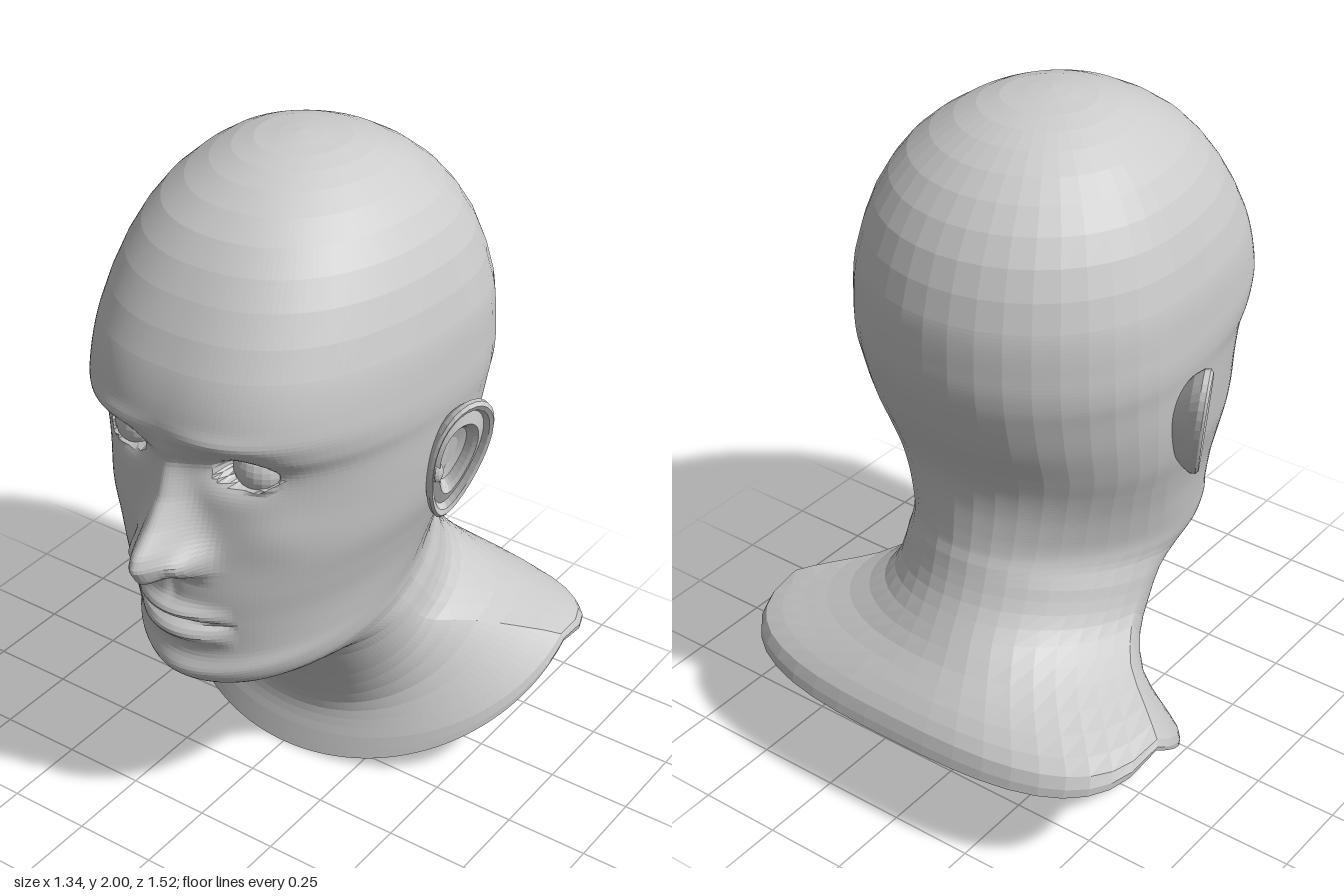
import * as THREE from 'three';

const gray = () => new THREE.MeshStandardMaterial({ color: 0xcccccc, flatShading: true, side: THREE.DoubleSide });
const bump = (d, s) => Math.exp(-(d / s) * (d / s));
const smooth = THREE.MathUtils.smoothstep;

// Skin a list of closed loops of points
function loft(loops, flip = false) {
  const n = loops[0].length, index = [];
  for (let i = 0; i < loops.length - 1; i++) {
    for (let j = 0; j < n; j++) {
      const a = i * n + j, b = i * n + (j + 1) % n, c = a + n, d = b + n;
      if (flip) index.push(a, b, c, b, d, c);
      else index.push(a, c, b, b, c, d);
    }
  }
  const g = new THREE.BufferGeometry();
  g.setAttribute('position', new THREE.Float32BufferAttribute(loops.flat(2), 3));
  g.setIndex(index);
  g.computeVertexNormals();
  return g;
}

function named(name, geometry) {
  const m = new THREE.Mesh(geometry, gray());
  m.name = name;
  return m;
}

// Ring rows: front y, z | side x, y, z | back y, z | front roundness
const skullRows = [
  [2.0, 0, 0, 2.0, 0, 2.0, 0, 2],
  [1.985, .13, .13, 1.985, -.02, 1.985, -.14, 2],
  [1.94, .26, .24, 1.94, -.04, 1.94, -.27, 2.1],
  [1.85, .40, .355, 1.85, -.06, 1.85, -.40, 2.2],
  [1.72, .51, .435, 1.72, -.08, 1.72, -.50, 2.3],
  [1.56, .60, .48, 1.56, -.1, 1.56, -.555, 2.4],
];
const faceRows = [
  [1.42, .638, .49, 1.42, -.11, 1.42, -.565, 2.5],
  [1.34, .622, .49, 1.34, -.11, 1.34, -.56, 2.5],
  [1.27, .59, .482, 1.27, -.1, 1.27, -.545, 2.4],
  [1.15, .58, .47, 1.15, -.08, 1.17, -.515, 2.3],
  [1.0, .59, .45, 1.03, -.05, 1.07, -.475, 2.2],
  [.88, .60, .42, .93, -.03, 1.0, -.455, 2.1],
  [.775, .595, .395, .84, 0, .93, -.45, 2],
  [.66, .575, .375, .75, .03, .86, -.455, 2],
  [.59, .58, .365, .70, .04, .82, -.46, 2],
  [.535, .535, .36, .665, .03, .79, -.465, 2],
];
// Neck rows add the roundness of the back
const neckRows = [
  [.505, .43, .355, .635, 0, .76, -.475, 2, 2],
  [.485, .27, .36, .59, -.04, .72, -.485, 2, 2],
  [.37, .17, .365, .53, -.08, .65, -.51, 2, 2],
  [.25, .095, .385, .485, -.14, .57, -.555, 2, 2.1],
  [.17, .055, .46, .45, -.25, .49, -.61, 2, 2.3],
  [.12, .055, .57, .42, -.34, .42, -.68, 2, 2.6],
  [.07, .07, .66, .39, -.41, .355, -.735, 2, 2.9],
  [0, .09, .665, .36, -.42, .29, -.755, 2, 3],
];
const rows = [...skullRows.map(r => [...r, 2]), ...faceRows.map(r => [...r, 2]), ...neckRows];

// Smooth blend between neighbouring rows
function rowAt(i, t) {
  const at = k => rows[Math.min(Math.max(k, 0), rows.length - 1)];
  const [p, a, b, q] = [at(i - 1), at(i), at(i + 1), at(i + 2)];
  return a.map((v, k) => v + .5 * t * (b[k] - p[k]
    + t * (2 * p[k] - 5 * v + 4 * b[k] - q[k] + t * (3 * (v - b[k]) + q[k] - p[k]))));
}

const EYE = { x: .2, y: 1.265, z: .44, r: .086 };

// Height of the nose ridge above the face
const ridge = [[.91, 0], [.94, .05], [.962, .145], [1.015, .18], [1.05, .168], [1.11, .11], [1.18, .06], [1.28, .02], [1.38, 0]];
function ridgeHeight(y) {
  for (let i = 0; i < ridge.length - 1; i++) {
    const [y0, h0] = ridge[i], [y1, h1] = ridge[i + 1];
    if (y >= y0 && y < y1) return h0 + (h1 - h0) * (y - y0) / (y1 - y0);
  }
  return 0;
}

// Facial relief: pushes the front of the skin along z
function relief(x, y, z) {
  x = Math.abs(x);
  // nose, wings and nostrils
  const w = THREE.MathUtils.lerp(.072, .045, smooth(y, 1.0, 1.25));
  z += ridgeHeight(y) * bump(x, w);
  z += .05 * bump(x - .085, .03) * bump(y - 1.0, .042);
  z -= .035 * bump(x - .045, .02) * bump(y - .952, .014);
  // brow, sockets and cheeks
  z += .014 * bump(x - .17, .12) * bump(y - 1.385, .03);
  z -= .06 * bump(x - .185, .09) * bump(y - 1.28, .06);
  z += .014 * bump(x - .28, .09) * bump(y - 1.08, .09);
  // lips, mouth line, philtrum and chin
  const lip = Math.max(0, 1 - (x / .165) ** 2), my = .775 - .3 * x * x;
  z += lip * (.032 * bump(y - my - .035, .026) + .03 * bump(y - my + .045, .028));
  z -= .022 * bump(y - my, .011) * Math.sqrt(lip);
  z -= .008 * bump(x, .02) * bump(y - .88, .035);
  z += .012 * bump(x, .1) * bump(y - .59, .04);
  // lids wrap the eyeball, then open over it
  const dx = x - EYE.x, dy = y - EYE.y;
  const ball = r => EYE.z + Math.sqrt(Math.max(0, r * r - dx * dx - dy * dy));
  if (Math.hypot(dx, dy) < .09) z = Math.max(z, ball(EYE.r + .01));
  const almond = (dx / .078) ** 2 + (dy / (dy > 0 ? .043 : .037)) ** 2;
  return THREE.MathUtils.lerp(ball(EYE.r) - .025, z, smooth(almond, .65, 1.25));
}

// Columns: fine over the face, coarse at the back
const half = [];
for (let i = 0; i < 46; i++) half.push(Math.PI / 2 * (i / 46) ** 1.25);
for (let i = 0; i <= 10; i++) half.push(Math.PI / 2 * (1 + i / 10));
const angles = [...half, ...half.slice(1, -1).reverse().map(a => -a)];

function ring([fy, fz, sx, sy, sz, by, bz, nf, nb]) {
  return angles.map(a => {
    const s = Math.min(1, Math.abs(Math.sin(a))), front = Math.cos(a) > 0;
    const n = front ? nf : nb;
    const c = Math.pow(Math.max(0, 1 - s ** n), 1 / n);
    const x = sx * Math.sin(a);
    const y = sy + ((front ? fy : by) - sy) * c;
    let z = sz + ((front ? fz : bz) - sz) * c;
    if (front && z > .2 && y > .5 && y < 1.5) z = relief(x, y, z);
    return [x, y, z];
  });
}

function headSkin() {
  const loops = [];
  for (let i = 0; i < rows.length - 1; i++) {
    const face = i >= skullRows.length - 1 && i < skullRows.length + faceRows.length - 1;
    const steps = face ? Math.ceil((rows[i][0] - rows[i + 1][0]) / .012) : 2;
    for (let k = 0; k < steps; k++) loops.push(ring(rowAt(i, k / steps)));
  }
  loops.push(ring(rows[rows.length - 1]));
  return loft(loops);
}

// Ear: one outline, scaled inwards from the back over the rim into the bowl
function ear(side) {
  const steps = [[.5, -.06], [.88, -.012], [1, .012], [1, .028], [.94, .036], [.86, .03], [.8, .01],
    [.7, .016], [.6, .022], [.52, .01], [.45, -.014], [.25, -.024], [0, -.024]];
  const tilt = .47, count = 32;
  const loops = steps.map(([k, out]) => Array.from({ length: count }, (_, j) => {
    const a = j / count * Math.PI * 2, up = Math.sin(a);
    const p = k * .086 * Math.cos(a) * (1 + .28 * up) + .028 * k * up;
    const q = k * .185 * up;
    const x = .492 + p * Math.sin(tilt) + out * Math.cos(tilt) + .11 * q;
    return [side * x, 1.155 + q, -.025 - p * Math.cos(tilt) + out * Math.sin(tilt)];
  }));
  return loft(loops, side > 0);
}

export function createModel() {
  const model = new THREE.Group();
  model.name = 'headBust';
  model.add(named('headAndNeck', headSkin()));
  for (const [label, side] of [['left', 1], ['right', -1]]) {
    model.add(named(label + 'Ear', ear(side)));

    const eye = named(label + 'Eyeball', new THREE.SphereGeometry(EYE.r, 24, 16));
    eye.position.set(side * EYE.x, EYE.y, EYE.z);
    model.add(eye);

    // small flap in front of the ear canal
    const tragus = named(label + 'Tragus', new THREE.SphereGeometry(.022, 10, 8));
    tragus.scale.set(.7, 1.4, .9);
    tragus.position.set(side * .475, 1.12, .025);
    model.add(tragus);
  }
  return model;
}
